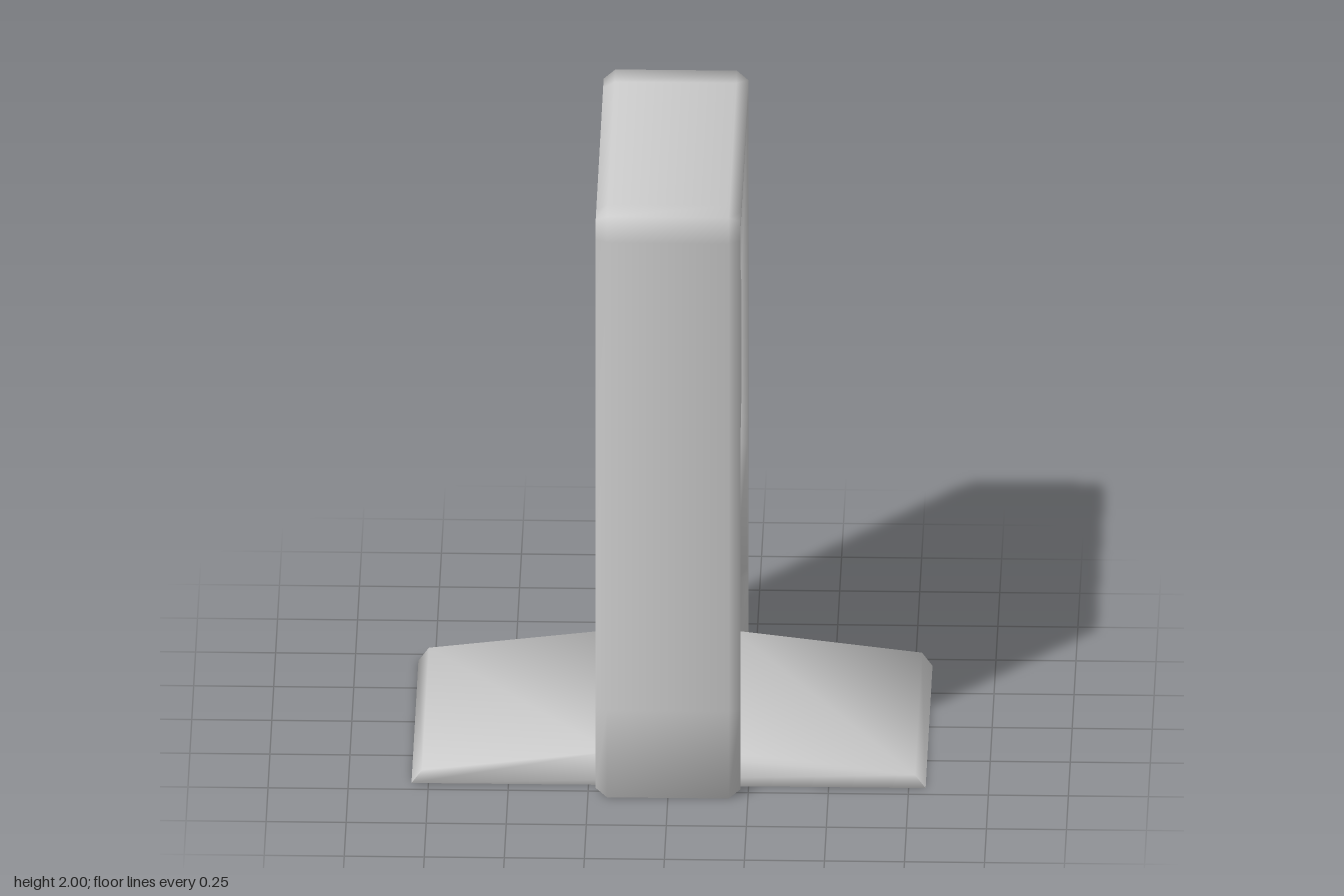
import * as THREE from 'three';
import { toCreasedNormals } from 'three/addons/utils/BufferGeometryUtils.js';

const material = new THREE.MeshStandardMaterial({ color: 0xcccccc });

function part(name, geometry, parent) {
  const mesh = new THREE.Mesh(geometry, material);
  mesh.name = name;
  parent.add(mesh);
  return mesh;
}

// Extrudes an outline, centred on its depth; the chamfer is [depth, inset]
function extrude(points, depth, [thick, inset] = [0, 0]) {
  const shape = new THREE.Shape(points.map(([a, b]) => new THREE.Vector2(a, b)));
  const geometry = new THREE.ExtrudeGeometry(shape, {
    depth: depth - 2 * thick,
    bevelEnabled: thick > 0,
    bevelThickness: thick,
    bevelSize: inset,
    bevelOffset: -inset,
    bevelSegments: 1,
  });
  return geometry.translate(0, 0, -depth / 2 + thick);
}

// Removes the faces lying on the ground, leaving the part open below
function openBottom(geometry) {
  const p = geometry.attributes.position;
  const kept = [];
  for (let i = 0; i < p.count; i += 3) {
    if (Math.max(p.getY(i), p.getY(i + 1), p.getY(i + 2)) < 0.001) continue;
    for (let k = i; k < i + 3; k++) kept.push(p.getX(k), p.getY(k), p.getZ(k));
  }
  const open = new THREE.BufferGeometry();
  open.setAttribute('position', new THREE.Float32BufferAttribute(kept, 3));
  return open;
}

export function createModel() {
  const model = new THREE.Group();
  model.name = 'slidingDoor';

  // Frame: softly shaded arch with a raised block on the inside of each post
  const arch = extrude([
    [0.545, 0], [0.545, 0.3], [0.545, 1.91], [0.545, 2], [0.453, 2],
    [-0.453, 2], [-0.545, 2], [-0.545, 1.91], [-0.545, 0.3], [-0.545, 0],
    [-0.455, 0], [-0.455, 0.285], [-0.378, 0.345], [-0.378, 0.795], [-0.455, 0.85],
    [-0.455, 1.917], [0.455, 1.917],
    [0.455, 1.8], [0.38, 1.73], [0.38, 1.29], [0.455, 1.23], [0.455, 0],
  ], 0.452, [0.036, 0.022]);
  part('frame', toCreasedNormals(openBottom(arch), 1.65).rotateY(-Math.PI / 2), model);

  // Ramp sloping down on both sides
  part('ramp', toCreasedNormals(extrude([
    [-0.803, 0], [0.803, 0], [0.77, 0.045], [0.18, 0.115], [-0.18, 0.115], [-0.77, 0.045],
  ], 0.906), 1.65), model);

  // Two door leaves separated by a shallow stepped seam
  const seam = [[0, 1.95], [0, 0.975], [0.175, 0.785], [0.175, 0]];
  const leaves = new THREE.Group();
  leaves.name = 'doorLeaves';
  model.add(leaves);
  for (const [name, side] of [['frontLeaf', 1], ['backLeaf', -1]]) {
    const edge = seam.map(([z, y], i) => [
      z + side * 0.036,
      y + (i === 1 || i === 2 ? side * 0.012 : 0),
    ]);
    const outline = [...edge, [side * 0.48, 0], [side * 0.48, 1.95]];
    part(name, toCreasedNormals(extrude(outline, 0.16), 0.5).rotateY(-Math.PI / 2), leaves);
  }
  part('seamCore', new THREE.BoxGeometry(0.128, 1.9, 0.4).translate(0, 0.97, 0.08), leaves);

  // Tilted lamp tucked below the lintel on each side of the door
  const trough = [
    [-0.07, 0], [-0.06, 0.045], [-0.028, 0.08], [0.028, 0.08], [0.06, 0.045], [0.07, 0],
    [0.056, 0], [0, 0.035], [-0.056, 0],
  ];
  for (const [name, turn] of [['leftLamp', 0], ['rightLamp', Math.PI]]) {
    const pivot = new THREE.Group();
    pivot.name = name;
    pivot.rotation.y = turn;
    model.add(pivot);
    const lamp = new THREE.Group();
    lamp.name = 'lampBody';
    lamp.position.set(0.146, 1.838, 0);
    lamp.rotation.z = 0.4;
    pivot.add(lamp);
    part('lampHousing', toCreasedNormals(extrude(trough, 0.76), 0.9), lamp);
    for (const end of [1, -1]) {
      part('lampEndCap', new THREE.BoxGeometry(0.11, 0.045, 0.014)
        .translate(0, 0.024, end * 0.372), lamp);
      part('lampPin', new THREE.CylinderGeometry(0.028, 0.028, 0.1, 16)
        .rotateX(Math.PI / 2).translate(0, 0.036, end * 0.42), lamp);
    }
  }

  return model;
}
